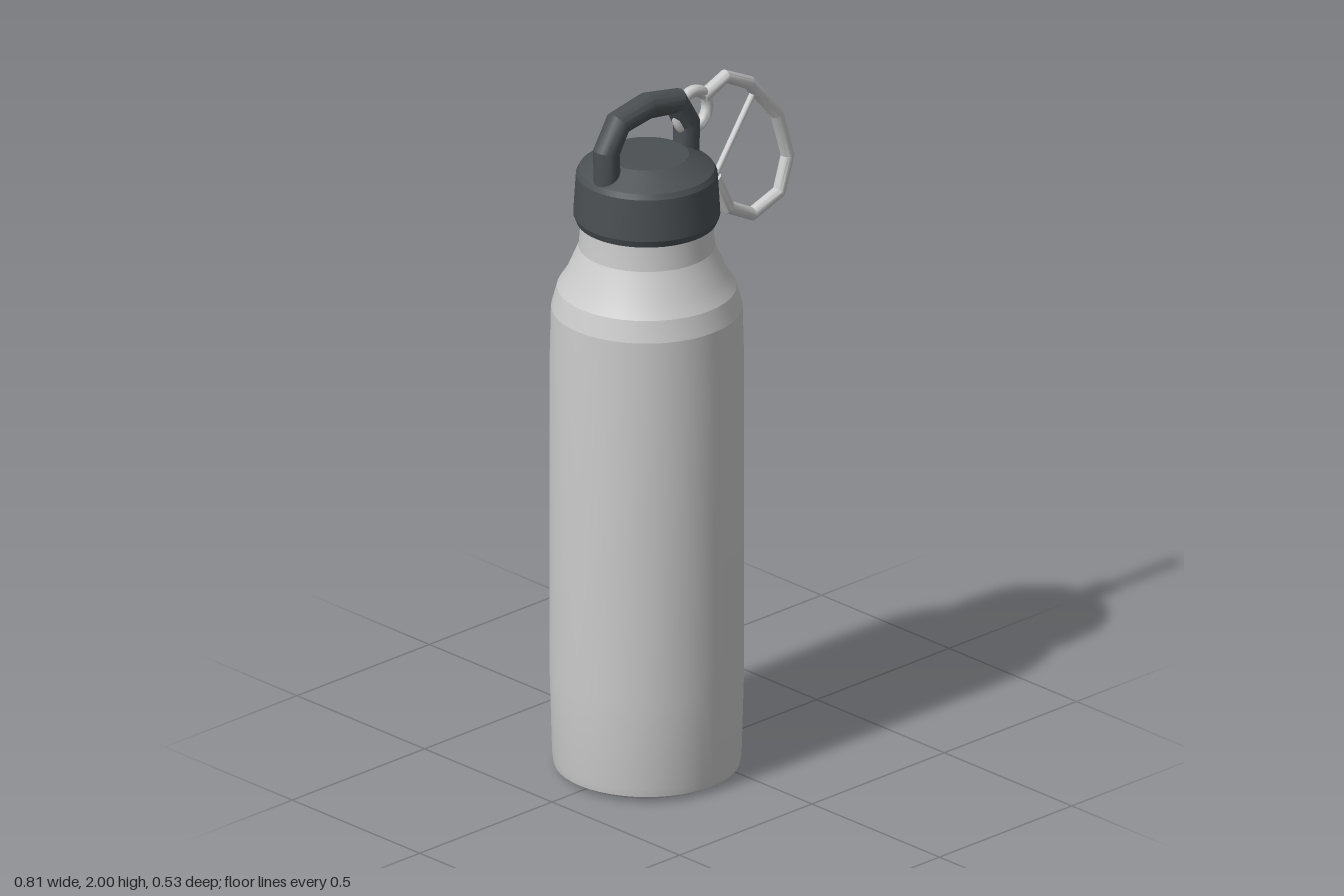
import * as THREE from 'three';
import { toCreasedNormals } from 'three/addons/utils/BufferGeometryUtils.js';

const steel = new THREE.MeshStandardMaterial({ color: 0xcccccc });
const plastic = new THREE.MeshStandardMaterial({ color: 0x4b5053 });
const AXIS_X = -0.142;

// Polyline whose joints are cut along the bisector, one tube section per point
class Polyline extends THREE.Curve {
  constructor(points) {
    super();
    this.points = points.map(([x, y]) => new THREE.Vector3(x, y, 0));
  }
  getPoint(t) {
    const f = t * (this.points.length - 1);
    const i = Math.min(Math.floor(f), this.points.length - 2);
    return this.points[i].clone().lerp(this.points[i + 1], f - i);
  }
  getPointAt(t) { return this.getPoint(t); }
  getTangentAt(t) {
    const p = this.points, last = p.length - 1, i = Math.round(t * last);
    const dir = (a, b) => p[b].clone().sub(p[a]).normalize();
    const tangent = new THREE.Vector3();
    if (i > 0) tangent.add(dir(i - 1, i));
    if (i < last) tangent.add(dir(i, i + 1));
    return tangent.normalize();
  }
}

function addMesh(parent, name, geometry, material, crease) {
  const mesh = new THREE.Mesh(toCreasedNormals(geometry, crease), material);
  mesh.name = name;
  parent.add(mesh);
  return mesh;
}

function lathe(parent, name, profile, material) {
  const points = profile.map(([r, y]) => new THREE.Vector2(r, y));
  const mesh = addMesh(parent, name, new THREE.LatheGeometry(points, 48), material, 0.2);
  mesh.position.x = AXIS_X;
  return mesh;
}

// Faceted rod along a polyline, with flat discs closing both ends
function rod(parent, name, points, radius, material) {
  const group = new THREE.Group();
  group.name = name;
  const path = new Polyline(points);
  addMesh(group, name + 'Tube', new THREE.TubeGeometry(path, points.length - 1, radius, 16, false), material, 0.42);
  for (const end of [0, 1]) {
    const cap = addMesh(group, name + 'End', new THREE.CircleGeometry(radius, 16), material, 0.42);
    const outward = path.getTangentAt(end).multiplyScalar(end ? 1 : -1);
    cap.position.copy(path.getPoint(end));
    cap.quaternion.setFromUnitVectors(new THREE.Vector3(0, 0, 1), outward);
  }
  parent.add(group);
  return group;
}

export function createModel() {
  const model = new THREE.Group();
  model.name = 'waterBottle';

  // Bottle body with chamfered foot, sloping shoulder and neck
  lathe(model, 'body', [
    [0, 0.003], [0.225, 0.003], [0.254, 0.02], [0.258, 0.045], [0.265, 0.3],
    [0.265, 1.2], [0.261, 1.37], [0.245, 1.43], [0.22, 1.47], [0.186, 1.55],
    [0.181, 1.61], [0.18, 1.64], [0, 1.64],
  ], steel);

  // Screw lid
  lathe(model, 'lid', [
    [0, 1.625], [0.192, 1.625], [0.2, 1.645], [0.199, 1.67], [0.193, 1.765],
    [0.185, 1.78], [0.115, 1.82], [0, 1.822],
  ], plastic);

  // Carrying loop on the lid
  rod(model, 'handle', [
    [-0.291, 1.77], [-0.295, 1.87], [-0.25, 1.944], [-0.142, 1.963],
    [-0.034, 1.944], [0.008, 1.87], [0.006, 1.77],
  ], 0.037, plastic);

  // Small ring linking handle and clip
  const ring = addMesh(model, 'linkRing', new THREE.TorusGeometry(0.056, 0.017, 12, 24), steel, 0.6);
  ring.position.set(0.026, 1.9, 0.005);

  // Clip: bent open hook and thin spring gate
  const clip = new THREE.Group();
  clip.name = 'clip';
  clip.position.z = 0.006;
  rod(clip, 'hook', [
    [0.063, 1.928], [0.148, 1.964], [0.238, 1.918], [0.343, 1.795], [0.384, 1.66],
    [0.352, 1.56], [0.249, 1.525], [0.16, 1.572], [0.108, 1.677],
  ], 0.019, steel);
  rod(clip, 'gate', [[0.108, 1.677], [0.259, 1.89]], 0.009, steel);
  model.add(clip);

  return model;
}
